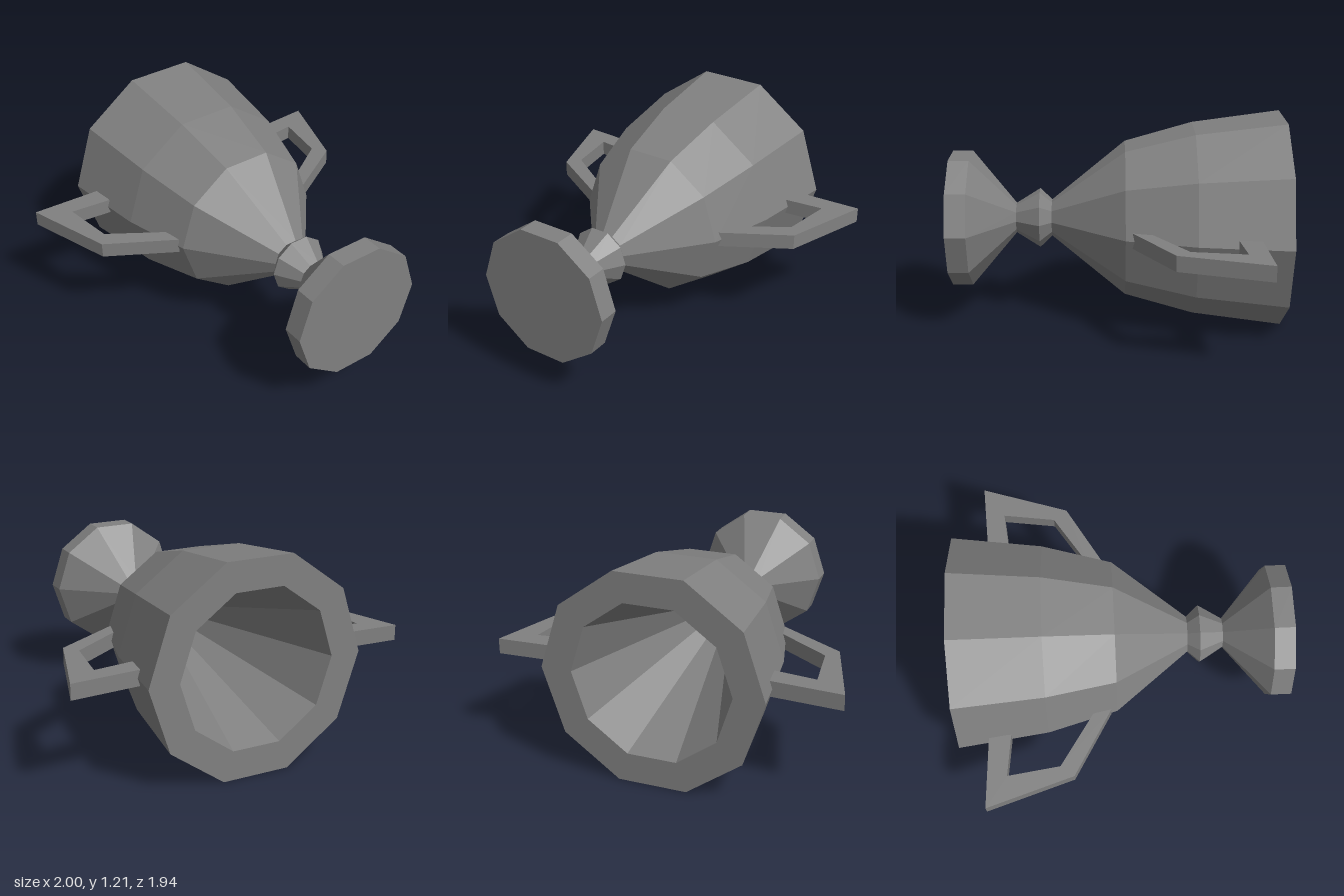
import * as THREE from 'three';

const CX = 0.007, CY = 0.61; // axis of the cup, which lies along z

// Ten-sided faceted turning along z; profile rows are [radius, z]
function turned(name, profile, material) {
  const points = profile.map(([r, z]) => new THREE.Vector2(r, z));
  let geo = new THREE.LatheGeometry(points, 10, Math.PI / 2);
  geo.rotateX(Math.PI / 2);
  geo = geo.toNonIndexed();
  geo.computeVertexNormals();
  const mesh = new THREE.Mesh(geo, material);
  mesh.name = name;
  mesh.position.set(CX, CY, 0);
  return mesh;
}

// Angular flat handle drawn in the x-z plane; side is +1 or -1
function handle(name, side, material) {
  const outline = [
    [0.58, -0.793], [0.995, -0.815], [0.833, -0.31], [0.45, -0.085],
    [0.47, -0.19], [0.772, -0.388], [0.815, -0.692], [0.575, -0.665],
  ];
  const shape = new THREE.Shape(outline.map(([x, z]) => new THREE.Vector2(side * x, z)));
  const geo = new THREE.ExtrudeGeometry(shape, { depth: 0.09, bevelEnabled: false });
  geo.rotateX(Math.PI / 2);
  const mesh = new THREE.Mesh(geo, material);
  mesh.name = name;
  mesh.position.set(side < 0 ? -0.002 : 0.003, CY + 0.045, 0);
  return mesh;
}

export function createModel() {
  const metal = new THREE.MeshStandardMaterial({ color: 0x808080 });
  metal.name = 'grey metal';

  const trophy = new THREE.Group();
  trophy.name = 'trophyCup';

  // Hollow bowl: inner cone, flat rim, outer wall
  trophy.add(turned('bowl', [
    [0, 0.3], [0.46, -0.97], [0.637, -0.97], [0.568, -0.45], [0.456, -0.05], [0.108, 0.38],
  ], metal));

  // Knob between bowl and foot
  trophy.add(turned('stemKnob', [[0.108, 0.38], [0.175, 0.45], [0.088, 0.59]], metal));

  // Flared foot with a straight edge and a flat underside
  trophy.add(turned('foot', [[0.088, 0.59], [0.398, 0.85], [0.398, 0.97], [0, 0.97]], metal));

  trophy.add(handle('leftHandle', 1, metal), handle('rightHandle', -1, metal));
  return trophy;
}
